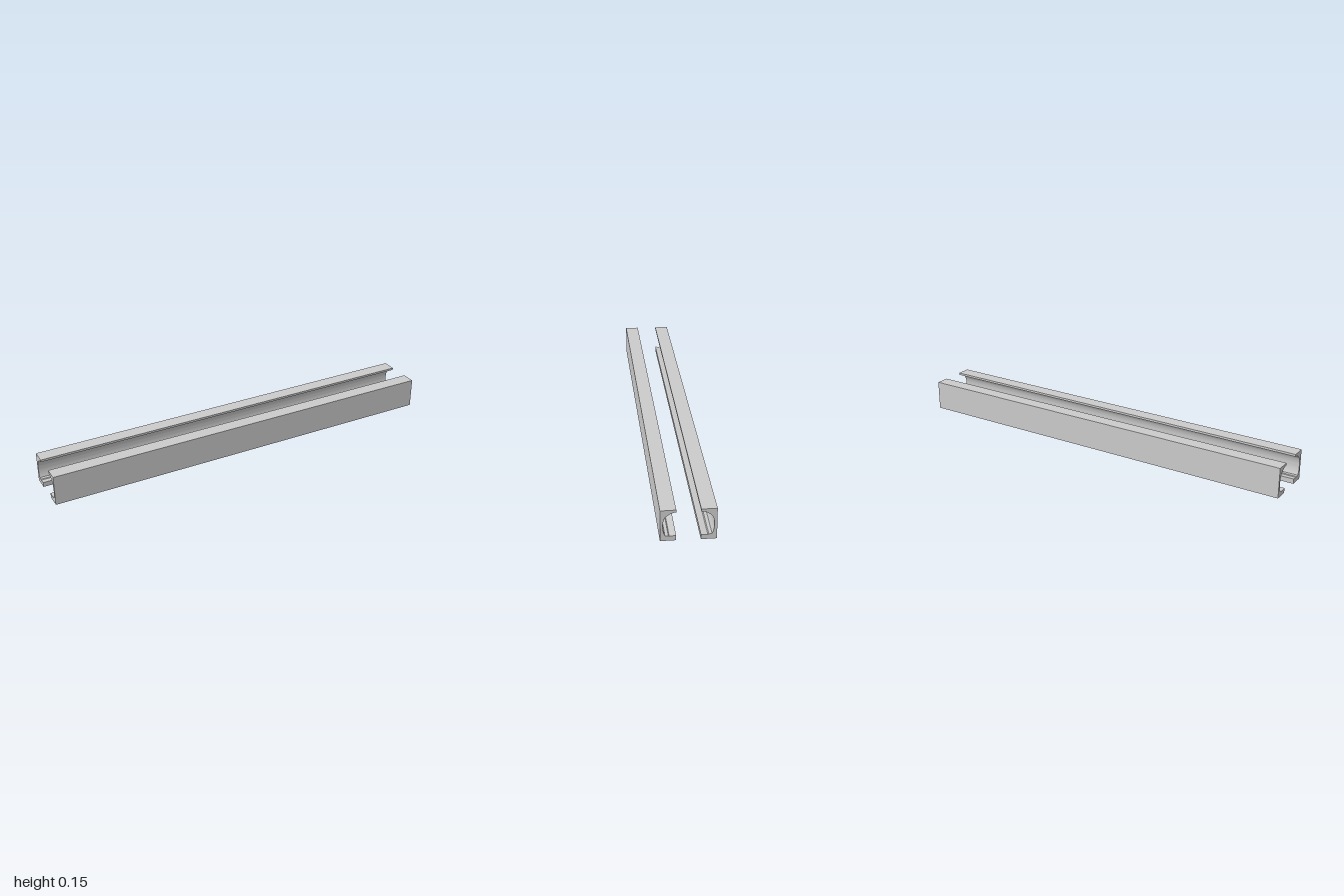
import * as THREE from 'three';
import { toCreasedNormals } from 'three/addons/utils/BufferGeometryUtils.js';

const LENGTH = 2;

// Cross-section of one channel: x = distance from the centre line, y = height
function channelProfile() {
  const s = new THREE.Shape();
  s.moveTo(0.052, 0.002);
  s.lineTo(0.12, 0.002);
  s.lineTo(0.12, 0.15);
  s.lineTo(0.052, 0.15);
  s.lineTo(0.052, 0.139);
  // rounded inner face under the top lip
  s.bezierCurveTo(0.072, 0.138, 0.089, 0.127, 0.1, 0.113);
  // bowed inner wall
  s.bezierCurveTo(0.112, 0.09, 0.111, 0.052, 0.099, 0.027);
  // bottom lip with a shallow groove
  s.lineTo(0.085, 0.026);
  s.lineTo(0.081, 0.023);
  s.lineTo(0.075, 0.024);
  s.lineTo(0.052, 0.026);
  s.closePath();
  return s;
}

export function createModel() {
  const model = new THREE.Group();
  model.name = 'railPair';
  const material = new THREE.MeshStandardMaterial({ color: 0xcccccc });

  // Extrude along the length, then turn the length onto x
  const extruded = new THREE.ExtrudeGeometry(channelProfile(), {
    depth: LENGTH, bevelEnabled: false, curveSegments: 10,
  });
  extruded.translate(0, 0, -LENGTH / 2);
  extruded.rotateY(-Math.PI / 2);
  const geometry = toCreasedNormals(extruded, Math.PI / 7);

  // Two rails facing each other
  const front = new THREE.Mesh(geometry, material);
  front.name = 'frontRail';
  const back = new THREE.Mesh(geometry, material);
  back.name = 'backRail';
  back.rotation.y = Math.PI;
  back.position.y = -0.002;
  model.add(front, back);
  return model;
}
